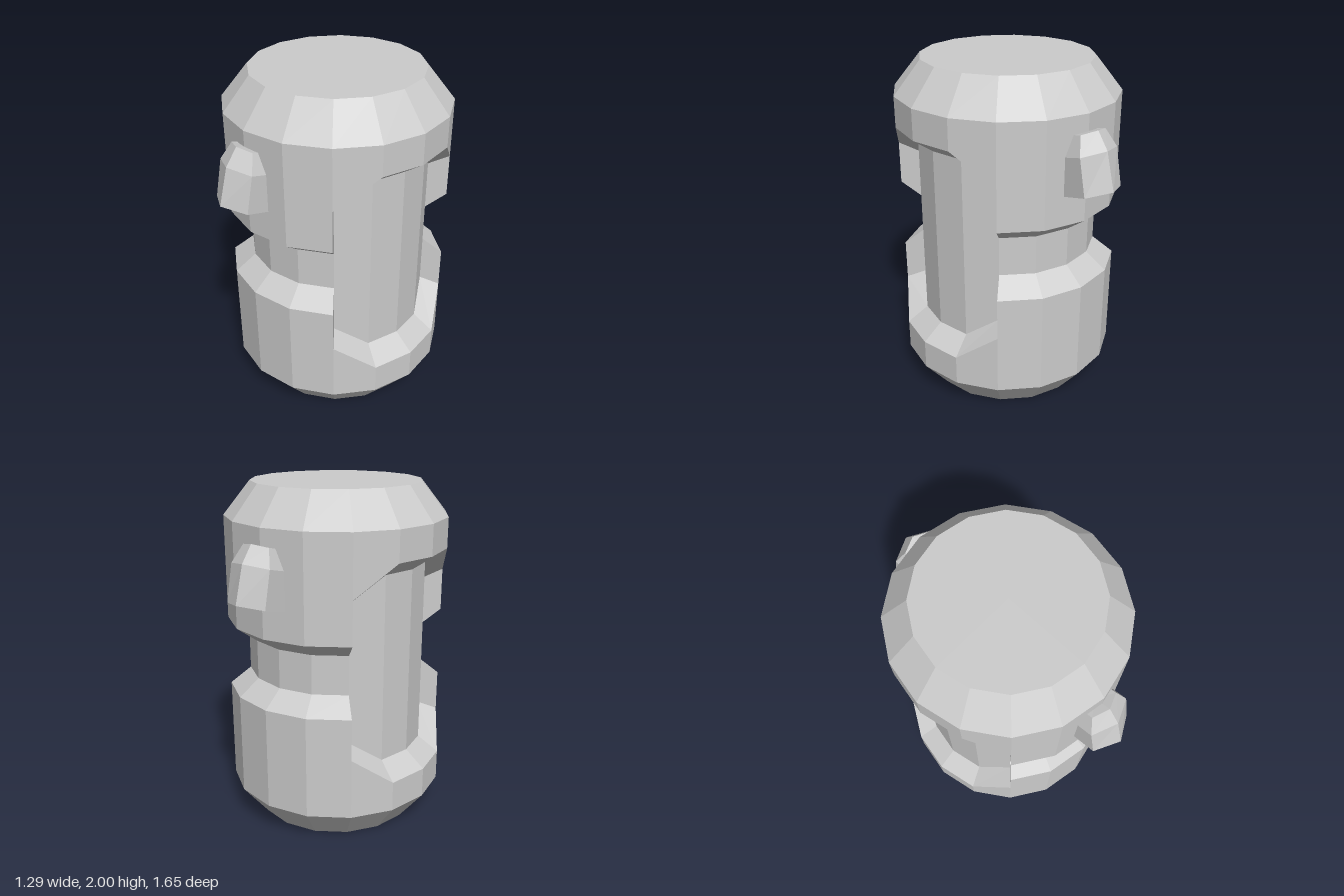
import * as THREE from 'three';

const material = new THREE.MeshStandardMaterial({ color: 0xcccccc, flatShading: true });

// Skins a stack of closed rings (listed bottom to top) and caps both ends.
function skin(rings) {
  const positions = [];
  const ab = new THREE.Vector3(), ac = new THREE.Vector3();
  const tri = (a, b, c) => {
    ab.subVectors(b, a);
    ac.subVectors(c, a);
    if (ab.cross(ac).length() < 1e-7) return;
    for (const p of [a, b, c]) positions.push(p.x, p.y, p.z);
  };
  const n = rings[0].length;
  const middle = (ring) =>
    ring.reduce((sum, p) => sum.add(p), new THREE.Vector3()).divideScalar(n);
  const top = rings[rings.length - 1];
  const low = middle(rings[0]), high = middle(top);
  for (let j = 0; j < n; j++) {
    const k = (j + 1) % n;
    for (let i = 0; i < rings.length - 1; i++) {
      tri(rings[i][j], rings[i + 1][j], rings[i][k]);
      tri(rings[i][k], rings[i + 1][j], rings[i + 1][k]);
    }
    tri(low, rings[0][j], rings[0][k]);
    tri(high, top[k], top[j]);
  }
  const geometry = new THREE.BufferGeometry();
  geometry.setAttribute('position', new THREE.Float32BufferAttribute(positions, 3));
  geometry.computeVertexNormals();
  return geometry;
}

// Sixteen-sided drum: each column's profile sets where the recess opens and closes.
function bodyGeometry() {
  const R = 0.643, CORE = 0.522, CAP = 0.49;
  const groove = [0.795, 0.89, 1.12, 1.21];
  const windowEdge = [0.55, 0.6, 1.41, 1.46];
  const windowMiddle = [0.37, 0.46, 1.55, 1.635];
  const columns = [];
  for (let side = 0; side < 2; side++) {
    // Side window, then the groove; they share an angle, which makes the step wall.
    for (let k = -2; k <= 2; k++) {
      columns.push([side * 8 + k, Math.abs(k) === 2 ? windowEdge : windowMiddle]);
    }
    for (let k = 2; k <= 6; k++) columns.push([side * 8 + k, groove]);
  }
  const radii = [CAP, R, R, CORE, CORE, R, R, CAP];
  const rings = radii.map((r, i) => columns.map(([k, recess]) => {
    const angle = (k * Math.PI) / 8;
    const y = [0, 0.192, ...recess, 1.81, 2][i];
    return new THREE.Vector3(r * Math.cos(angle), y, r * Math.sin(angle));
  }));
  return skin(rings);
}

// Leaning pointed lug whose rear is sunk into the drum.
function lugGeometry() {
  // half width, ridge z and y, side z and y, rear y
  const sections = [
    [0.135, 0.827, 1.44, 0.755, 1.42, 1.353],
    [0.135, 0.77, 1.645, 0.712, 1.625, 1.57],
    [0.09, 0.70, 1.737, 0.665, 1.722, 1.68],
  ];
  return skin(sections.map(([w, rz, ry, sz, sy, by]) => [
    new THREE.Vector3(w, sy, sz),
    new THREE.Vector3(0, ry, rz),
    new THREE.Vector3(-w, sy, sz),
    new THREE.Vector3(-w, by, 0.5),
    new THREE.Vector3(w, by, 0.5),
  ]));
}

export function createModel() {
  const model = new THREE.Group();
  model.name = 'notchedDrum';

  const body = new THREE.Mesh(bodyGeometry(), material);
  body.name = 'body';
  body.position.z = 0.008;
  model.add(body);

  const lug = lugGeometry();
  ['frontLug', 'backLug'].forEach((name, i) => {
    const mesh = new THREE.Mesh(lug, material);
    mesh.name = name;
    mesh.rotation.y = i * Math.PI;
    model.add(mesh);
  });
  return model;
}
